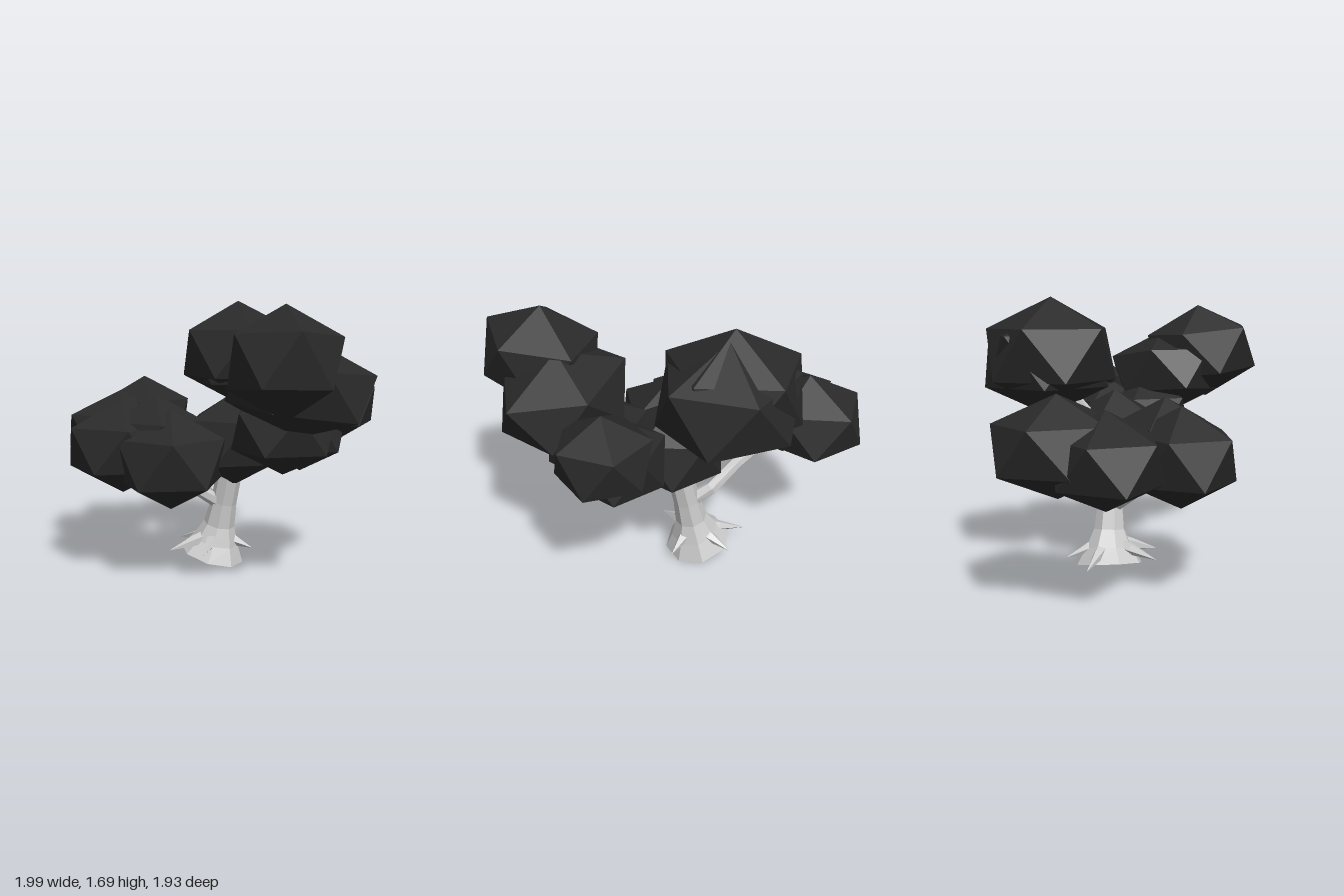
import * as THREE from 'three';

const V = (p) => new THREE.Vector3(p[0], p[1], p[2]);
const UP = new THREE.Vector3(0, 1, 0);

// Tapered limb: each station is [x, y, z, radius]; rings are set square to the path
function limbGeometry(stations, sides) {
  const last = stations.length - 1;
  const geo = new THREE.CylinderGeometry(1, 1, 1, sides, last, true);
  const frames = stations.map((s, i) => {
    const a = V(stations[Math.max(i - 1, 0)]);
    const b = V(stations[Math.min(i + 1, last)]);
    return new THREE.Quaternion().setFromUnitVectors(UP, b.sub(a).normalize());
  });
  const pos = geo.attributes.position;
  const p = new THREE.Vector3();
  for (let k = 0; k < pos.count; k++) {
    p.fromBufferAttribute(pos, k);
    const i = Math.round((p.y + 0.5) * last);
    p.y = 0;
    p.multiplyScalar(stations[i][3]).applyQuaternion(frames[i]).add(V(stations[i]));
    pos.setXYZ(k, p.x, p.y, p.z);
  }
  const flat = geo.toNonIndexed();
  flat.computeVertexNormals();
  return flat;
}

export function createModel() {
  const tree = new THREE.Group();
  tree.name = 'tree';
  const bark = new THREE.MeshStandardMaterial({ color: 0xcacaca, flatShading: true, side: THREE.DoubleSide });
  bark.name = 'pale bark';
  const leaf = new THREE.MeshStandardMaterial({ color: 0x292929, flatShading: true });
  leaf.name = 'dark foliage';

  const addLimb = (name, stations, sides) => {
    const mesh = new THREE.Mesh(limbGeometry(stations, sides), bark);
    mesh.name = name;
    tree.add(mesh);
  };

  // Trunk, flared at the foot and leaning to the left
  addLimb('trunk', [
    [0, 0.045, -0.195, 0.208], [0.026, 0.14, -0.19, 0.148], [0.05, 0.25, -0.18, 0.1],
    [0.08, 0.4, -0.165, 0.083], [0.115, 0.58, -0.145, 0.08], [0.15, 0.8, -0.12, 0.06],
  ], 8);

  // Branches reaching into the crown
  const branches = {
    frontRightBranch: [[0.05, 0.4, -0.15, 0.045], [-0.07, 0.49, -0.07, 0.036], [-0.24, 0.66, 0.1, 0.025]],
    backRightBranch: [[0.06, 0.4, -0.19, 0.05], [-0.02, 0.48, -0.28, 0.042], [-0.2, 0.61, -0.35, 0.038], [-0.5, 0.73, -0.45, 0.025]],
    leftBranch: [[0.15, 0.62, -0.13, 0.045], [0.36, 0.69, -0.09, 0.032], [0.58, 0.85, -0.05, 0.02]],
    topBranch: [[0.14, 0.75, -0.14, 0.05], [0.12, 0.96, -0.28, 0.035], [0.12, 1.2, -0.47, 0.025]],
  };
  for (const [name, s] of Object.entries(branches)) addLimb(name, s, 6);

  // Pointed roots around the foot
  const tips = [
    [0.26, 0.09, -0.19], [-0.02, 0.12, 0.1], [-0.24, 0.12, 0.02], [-0.23, 0.09, -0.4], [0.03, 0.1, -0.46],
  ];
  for (const t of tips) {
    const start = new THREE.Vector3(0.035, 0.185, -0.185);
    const mid = start.clone().lerp(V(t), 0.5);
    addLimb('rootSpike', [[...start.toArray(), 0.055], [...mid.toArray(), 0.036], [...t, 0.002]], 5);
  }

  // Foliage clumps: centre x, y, z, radius x, y, z, turn in degrees, then optional tilt about x and z
  const clumps = [
    [0.47, 1.33, 0.61, 0.34, 0.31, 0.41, 2, -0.1],
    [0.14, 1.34, -0.51, 0.41, 0.34, 0.435, 0],
    [0.21, 1.30, -0.52, 0.44, 0.34, 0.43, 15],
    [0.55, 1.18, 0.36, 0.455, 0.285, 0.38, 0, 0, -0.13],
    [0.46, 0.92, 0.20, 0.34, 0.26, 0.32, 0],
    [0.745, 1.05, -0.10, 0.295, 0.25, 0.30, 18],
    [0.56, 0.90, -0.04, 0.31, 0.26, 0.30, 0],
    [0.15, 0.82, -0.11, 0.33, 0.295, 0.34, 0],
    [-0.21, 0.73, 0.17, 0.37, 0.305, 0.375, 6],
    [-0.32, 0.83, 0.05, 0.33, 0.28, 0.34, 0],
    [-0.525, 0.79, 0.07, 0.37, 0.29, 0.34, 0],
    [-0.64, 0.82, -0.40, 0.40, 0.27, 0.34, 0],
    [-0.52, 0.89, -0.63, 0.34, 0.28, 0.39, 0],
  ];
  // Twenty-sided ball with one corner straight up
  const ball = new THREE.IcosahedronGeometry(1, 0).rotateZ(-Math.atan(2 / (1 + Math.sqrt(5))));
  for (const [x, y, z, rx, ry, rz, turn, tiltX = 0, tiltZ = 0] of clumps) {
    const geo = ball.clone().rotateY(-THREE.MathUtils.degToRad(turn));
    const mesh = new THREE.Mesh(geo, leaf);
    mesh.name = 'foliageClump';
    mesh.position.set(x, y, z);
    mesh.scale.set(rx, ry, rz);
    mesh.rotation.set(tiltX, 0, tiltZ);
    tree.add(mesh);
  }
  return tree;
}
